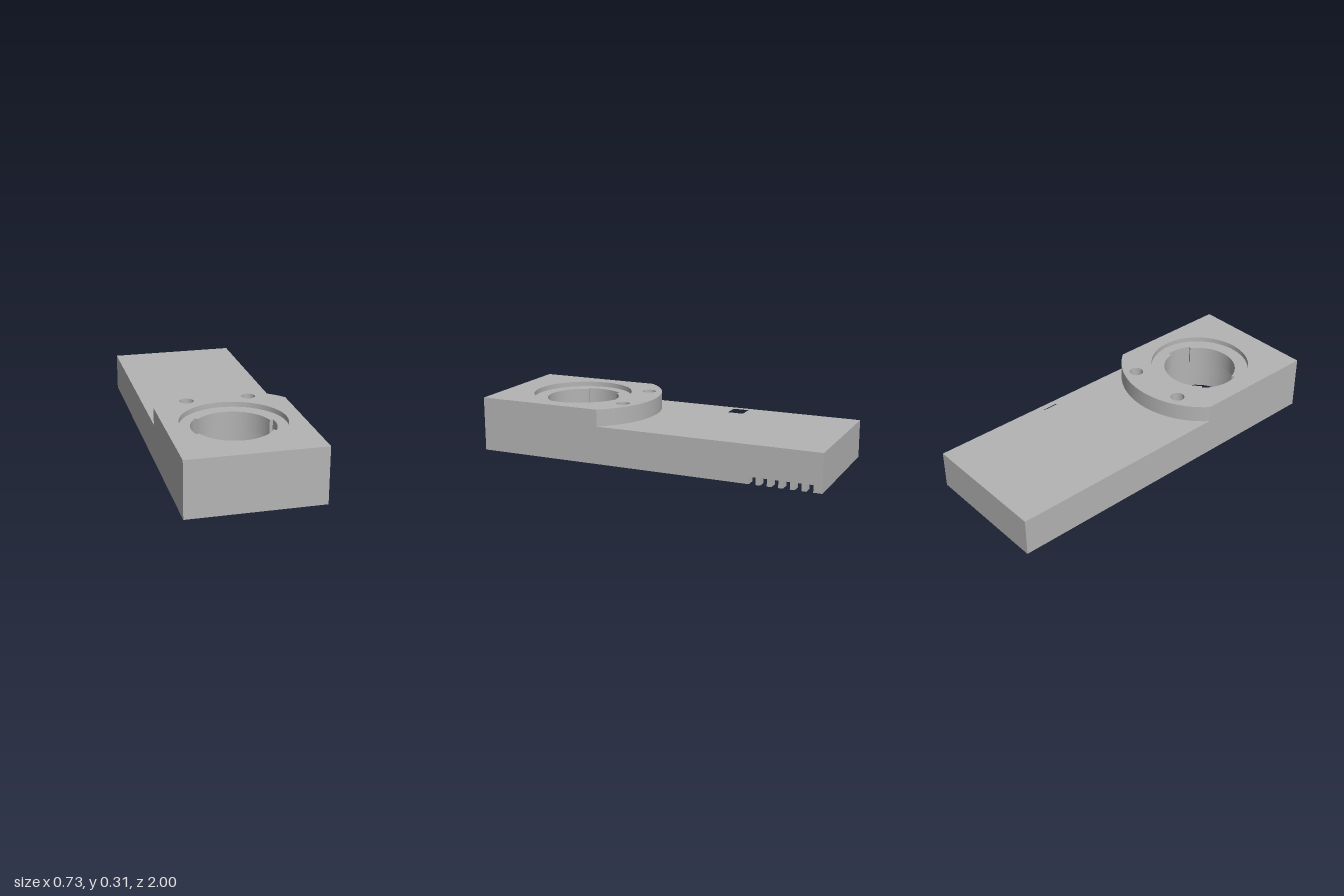
import * as THREE from 'three';
import { toCreasedNormals } from 'three/addons/utils/BufferGeometryUtils.js';

const W = 0.365, WALL = 0.055;       // half width, wall thickness
const CZ = 0.555;                    // z of the round socket
const CEIL = 0.075, LIP = 0.18, DECK = 0.213, SEAT = 0.28, TOP = 0.308;
const NOTCH_H = 0.04;

// Plan outlines are drawn in (x, -z)
function rect(x0, x1, z0, z1, Type = THREE.Shape) {
  const s = new Type();
  s.moveTo(x0, -z0); s.lineTo(x1, -z0); s.lineTo(x1, -z1); s.lineTo(x0, -z1);
  s.closePath();
  return s;
}
const rectHole = (...a) => rect(...a, THREE.Path);

function circle(x, z, r, Type = THREE.Path) {
  const p = new Type();
  p.absarc(x, -z, r, 0, Math.PI * 2, false);
  return p;
}

// Bore with two wider key slots
function keyedBore() {
  const p = new THREE.Path();
  const arcs = [[-29, 10, 0.225], [10, 139, 0.207], [139, 199, 0.225], [199, 331, 0.207]];
  for (const [a, b, r] of arcs) {
    p.absarc(0, -CZ, r, THREE.MathUtils.degToRad(a), THREE.MathUtils.degToRad(b), false);
  }
  p.closePath();
  return p;
}

// Raised head: square front, arc at the back concentric with the socket
function headOutline() {
  const a = Math.atan2(0.28, W);
  const s = new THREE.Shape();
  s.moveTo(-W, -1);
  s.lineTo(W, -1);
  s.absarc(0, -CZ, 0.46, a, Math.PI - a, false);
  s.closePath();
  return s;
}

export function createModel() {
  const group = new THREE.Group();
  const grey = new THREE.MeshStandardMaterial({ color: 0xb4b4b4 });
  grey.name = 'grey';

  function slab(name, shape, holes, y0, y1) {
    shape.holes.push(...holes);
    const geo = new THREE.ExtrudeGeometry(shape, { depth: y1 - y0, bevelEnabled: false, curveSegments: 40 });
    geo.rotateX(-Math.PI / 2);
    geo.translate(0, y0, 0);
    const mesh = new THREE.Mesh(toCreasedNormals(geo, 0.5), grey);
    mesh.name = name;
    group.add(mesh);
  }

  const xi = W - WALL, zi = 1 - WALL;

  // Lower rim: three plain walls, the fourth broken by vent notches
  const rim = new THREE.Shape();
  [[W, 1], [W, -0.609], [xi, -0.609], [xi, zi], [-xi, zi], [-xi, -zi], [xi, -zi],
    [xi, -0.952], [W, -0.952], [W, -1], [-W, -1], [-W, 1]]
    .filter(([x, z]) => !(x === xi && z === -zi))
    .forEach(([x, z], i) => (i ? rim.lineTo(x, -z) : rim.moveTo(x, -z)));
  rim.closePath();
  slab('lowerRim', rim, [], 0, NOTCH_H);
  for (let i = 0; i < 5; i++) {
    const z = -0.609 - 0.0615 * i;
    slab('ventTooth', rect(xi, W, z - 0.0615, z - 0.0355), [], 0, NOTCH_H);
  }
  slab('upperRim', rect(-W, W, -1, 1), [rectHole(-xi, xi, -zi, zi)], NOTCH_H, CEIL);

  // Socket tube inside the hollow underside
  slab('socketTube', circle(0, CZ, 0.289, THREE.Shape), [circle(0, CZ, 0.225)], 0, CEIL);

  // Deck with two rectangular pockets
  slab('deckBase', rect(-W, W, -1, 1), [circle(0, CZ, 0.225)], CEIL, LIP);
  slab('deckTop', rect(-W, W, -1, 1), [
    keyedBore(),
    rectHole(-0.332, -0.21, -0.35, -0.26),
    rectHole(0.21, 0.332, -0.35, -0.26),
  ], LIP, DECK);

  // Raised head with pin holes and a round recess
  const pins = () => [-1, 1].map((s) => circle(s * 0.172, 0.21, 0.039));
  slab('headBase', headOutline(), [keyedBore(), ...pins()], DECK, SEAT);
  slab('headTop', headOutline(), [circle(0, CZ, 0.283), ...pins()], SEAT, TOP);

  return group;
}
